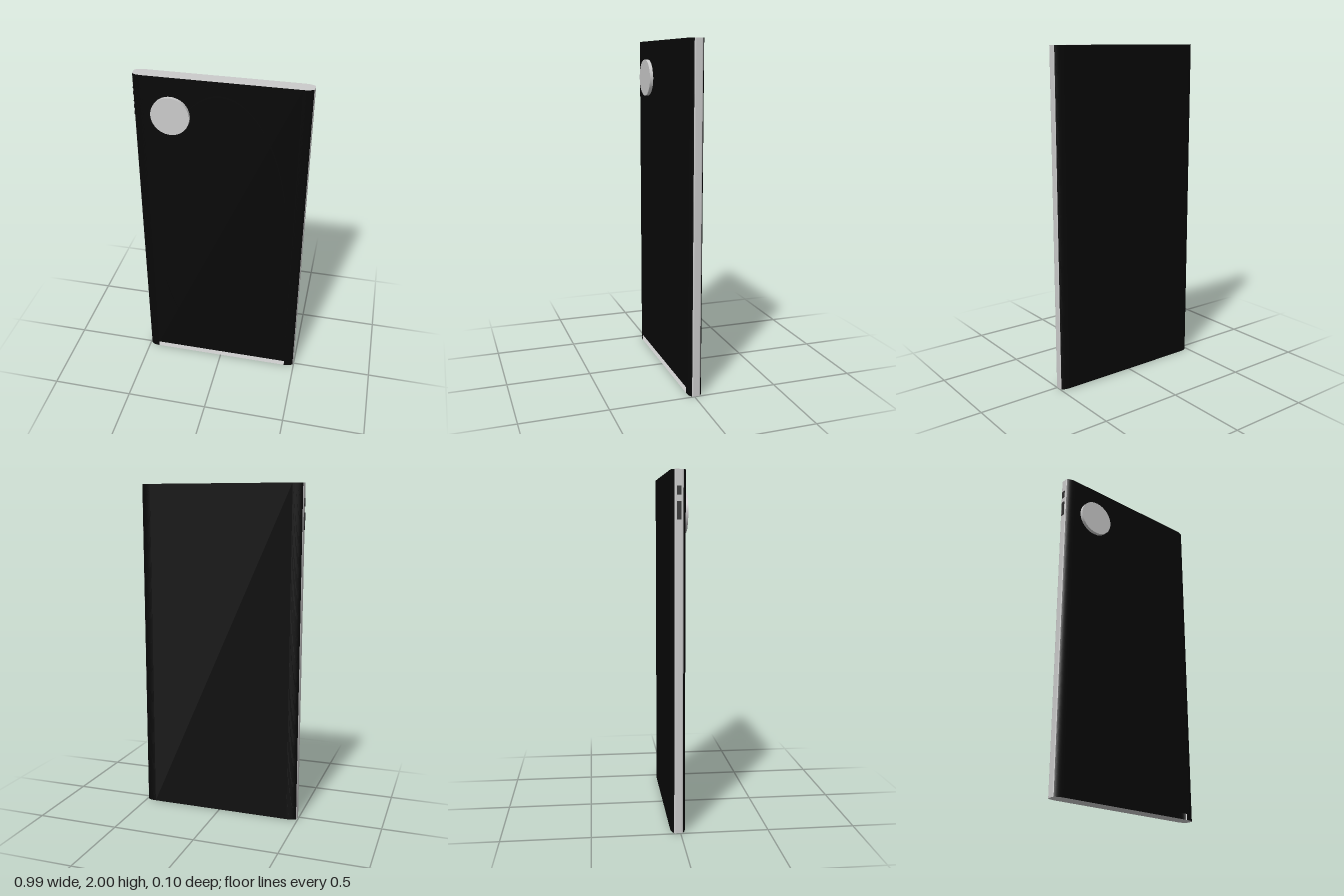
import * as THREE from 'three';

const grey = new THREE.MeshStandardMaterial({ color: 0xcccccc, side: THREE.DoubleSide });
const black = new THREE.MeshStandardMaterial({ color: 0x080808, side: THREE.DoubleSide });
const dark = new THREE.MeshStandardMaterial({ color: 0x333333 });

const HEIGHT = 2, FRONT = 0.03;
const CX = 0.0015, CZ = -0.0115;      // centre of the slab
const HX = 0.495, HZ = 0.0415;        // half width and half depth
const RX = 0.06, RZ = 0.026;          // elliptical corner radii
const SLOT = 0.035;                   // gap under the flat front glass
const EDGE = 20;                      // angle where the glass meets the frame

// Points along one elliptical corner; sx and sz pick the corner.
function arc(a0, a1, sx, sz, steps = 10) {
  return Array.from({ length: steps + 1 }, (_, i) => {
    const a = THREE.MathUtils.degToRad(a0 + (a1 - a0) * i / steps);
    return new THREE.Vector2(
      CX + sx * (HX - RX) + RX * Math.cos(a),
      CZ + sz * (HZ - RZ) + RZ * Math.sin(a));
  });
}

// Upright wall following an outline of (x, z) points.
function wall(points, y0, y1) {
  const pos = [], index = [];
  points.forEach((p, i) => {
    pos.push(p.x, y0, p.y, p.x, y1, p.y);
    if (i) {
      const a = 2 * i - 2;
      index.push(a, a + 2, a + 3, a, a + 3, a + 1);
    }
  });
  const g = new THREE.BufferGeometry();
  g.setAttribute('position', new THREE.Float32BufferAttribute(pos, 3));
  g.setIndex(index);
  g.computeVertexNormals();
  return g;
}

export function createModel() {
  const group = new THREE.Group();
  const add = (name, geometry, material, x = 0, y = 0, z = 0) => {
    const mesh = new THREE.Mesh(geometry, material);
    mesh.name = name;
    mesh.position.set(x, y, z);
    group.add(mesh);
    return mesh;
  };

  // Outline pieces, running front, right, back, left
  const frontRight = arc(90, EDGE, 1, 1);
  const rightSide = [...arc(EDGE, 0, 1, 1, 4), ...arc(0, -EDGE, 1, -1, 4)];
  const back = [...arc(-EDGE, -90, 1, -1), ...arc(-90, -180 + EDGE, -1, -1)];
  const leftSide = [...arc(-180 + EDGE, -180, -1, -1, 4), ...arc(-180, -180 - EDGE, -1, 1, 4)];
  const frontLeft = arc(-180 - EDGE, -270, -1, 1);

  // Metal frame and end caps
  add('rightFrame', wall(rightSide, 0, HEIGHT), grey);
  add('leftFrame', wall(leftSide, 0, HEIGHT), grey);
  const outline = new THREE.Shape([...frontRight, ...rightSide, ...back, ...leftSide, ...frontLeft]);
  const cap = new THREE.ShapeGeometry(outline).rotateX(Math.PI / 2);
  add('bottomCap', cap, grey);
  add('topCap', cap, grey, 0, HEIGHT);

  // Glass: one wrapped back panel, and a front with curved edges
  add('backGlass', wall(back, 0, HEIGHT), black);
  add('frontGlassRightEdge', wall(frontRight, 0, HEIGHT), black);
  add('frontGlassLeftEdge', wall(frontLeft, 0, HEIGHT), black);
  add('frontGlass', wall([frontLeft.at(-1), frontRight[0]], SLOT, HEIGHT), black);

  // Thin oval line on the front
  const oval = add('ovalLine', new THREE.RingGeometry(0.992, 1, 96), black, 0, 1.005, FRONT + 0.0008);
  oval.scale.set(0.4, 0.915, 1);

  // Round camera plate
  const plate = new THREE.CylinderGeometry(0.11, 0.11, 0.022, 64).rotateX(Math.PI / 2);
  add('cameraPlate', plate, grey, -0.28, 1.78, FRONT + 0.01);

  // Side buttons
  for (const [name, y0, y1] of [['powerButton', 1.87, 1.915], ['volumeButton', 1.74, 1.835]]) {
    add(name, new THREE.BoxGeometry(0.01, y1 - y0, 0.022), dark, -0.4925, (y0 + y1) / 2, CZ);
  }
  return group;
}
